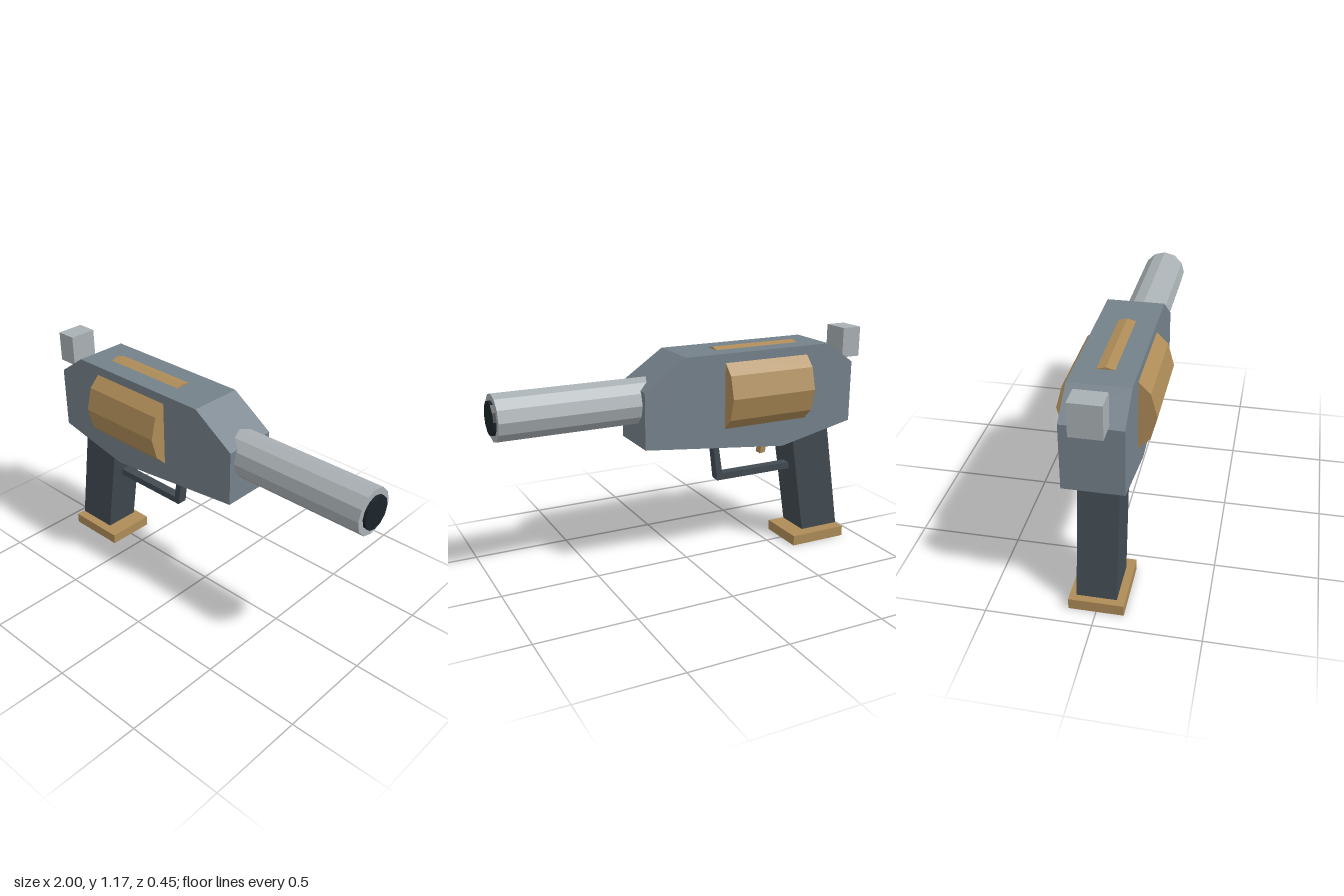
import * as THREE from 'three';

const COLORS = { steel: 0x75818a, silver: 0xa9b0b3, brass: 0xae8c58, grip: 0x414b52, bore: 0x1c242a };

function addMesh(group, name, geometry, color) {
  const material = new THREE.MeshStandardMaterial({ color: COLORS[color], flatShading: true });
  const mesh = new THREE.Mesh(geometry, material);
  mesh.name = name;
  group.add(mesh);
  return mesh;
}

// Side outline (x, y) extruded symmetrically about z = 0
function slab(outline, halfWidth) {
  const shape = new THREE.Shape(outline.map(([x, y]) => new THREE.Vector2(x, y)));
  return new THREE.ExtrudeGeometry(shape, { depth: halfWidth * 2, bevelEnabled: false })
    .translate(0, 0, -halfWidth);
}

// Twelve-sided rod lying along x
function rod(radius, x0, x1, y) {
  return new THREE.CylinderGeometry(radius, radius, x1 - x0, 12)
    .rotateZ(-Math.PI / 2)
    .translate((x0 + x1) / 2, y, 0);
}

// Box given by its x and y ranges
function block(x0, x1, y0, y1, halfWidth) {
  return new THREE.BoxGeometry(x1 - x0, y1 - y0, halfWidth * 2)
    .translate((x0 + x1) / 2, (y0 + y1) / 2, 0);
}

export function createModel() {
  const model = new THREE.Group();
  model.name = 'revolver';

  // Faceted frame
  addMesh(model, 'body', slab([
    [-0.905, 0.68], [-0.49, 0.592], [0.29, 0.677], [0.29, 0.96],
    [0.07, 1.11], [-0.75, 1.11], [-0.905, 1.0],
  ], 0.14), 'steel');

  // Chamber drum, showing through the sides and top of the frame
  addMesh(model, 'drum', rod(0.225, -0.62, -0.145, 0.896), 'brass');

  // Barrel and its dark bore
  addMesh(model, 'barrel', rod(0.115, 0, 0.985, 0.892), 'silver');
  addMesh(model, 'bore', rod(0.083, 0.9, 1.0, 0.892), 'bore');

  // Hammer block behind the frame
  addMesh(model, 'hammer', block(-1.0, -0.893, 1.01, 1.167, 0.073), 'silver');

  // Slanted grip with a base plate just below it
  addMesh(model, 'grip', slab([
    [-0.893, 0.07], [-0.668, 0.07], [-0.567, 0.7], [-0.792, 0.7],
  ], 0.094), 'grip');
  addMesh(model, 'basePlate', block(-0.914, -0.593, 0, 0.055, 0.13), 'brass');

  // Trigger guard: lower bar and raked front post
  addMesh(model, 'guardBar', block(-0.65, -0.17, 0.414, 0.45, 0.025), 'grip');
  addMesh(model, 'guardPost', slab([
    [-0.201, 0.424], [-0.166, 0.419], [-0.137, 0.66], [-0.166, 0.66],
  ], 0.025), 'grip');

  // Trigger
  addMesh(model, 'trigger', slab([
    [-0.457, 0.529], [-0.427, 0.525], [-0.447, 0.65], [-0.483, 0.65],
  ], 0.022), 'brass');

  return model;
}
